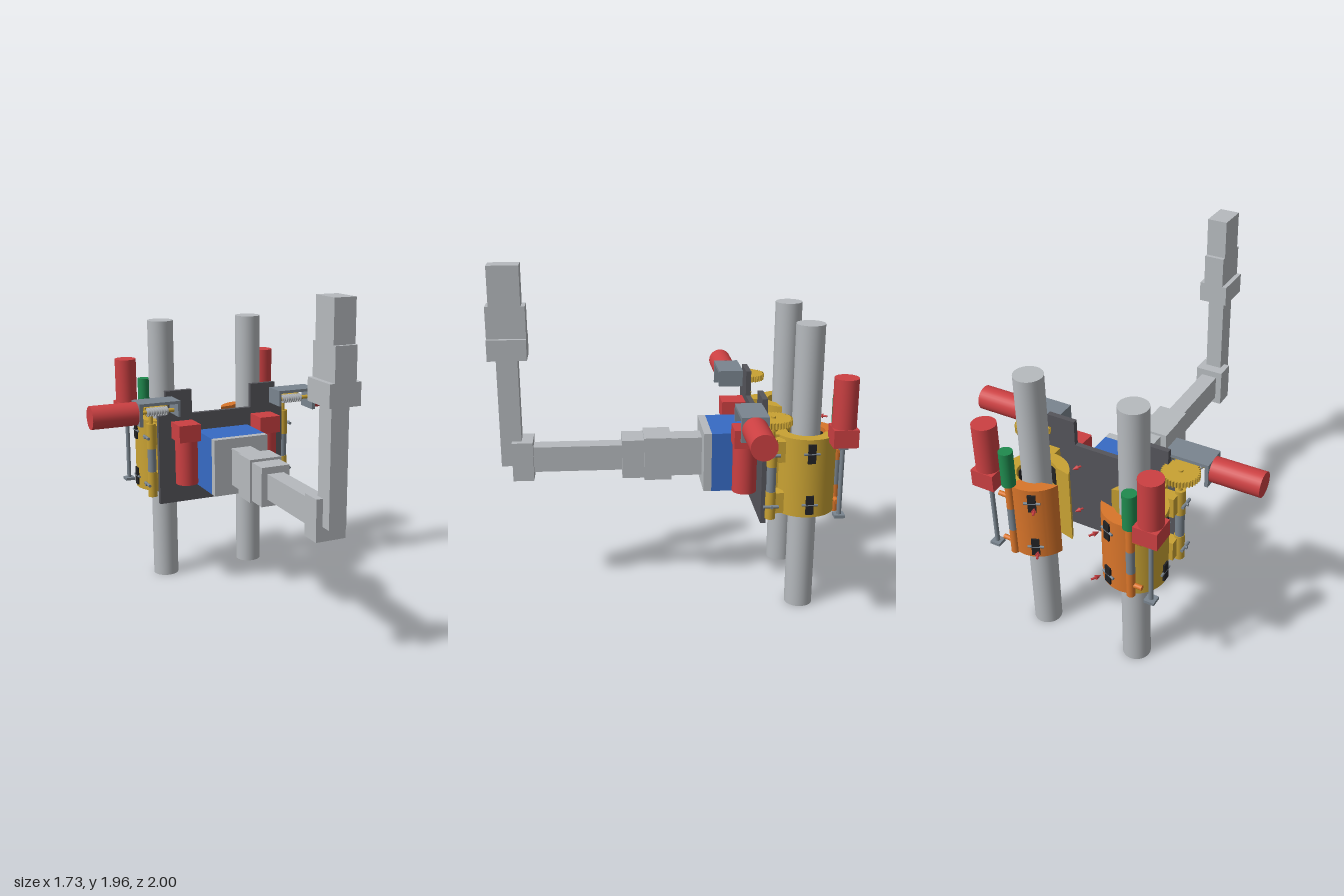
import * as THREE from 'three';
import { toCreasedNormals } from 'three/addons/utils/BufferGeometryUtils.js';

const colours = {
  paleGrey: 0xb6babe, red: 0xcc4042, blue: 0x376bc4, gold: 0xc9a233, orange: 0xd9752a,
  green: 0x1f8a4e, steel: 0x7a858f, charcoal: 0x55555b, black: 0x222224,
};

export function createModel() {
  const root = new THREE.Group();
  root.name = 'poleClimbingRobot';
  const mats = {};
  for (const [name, color] of Object.entries(colours)) {
    mats[name] = new THREE.MeshStandardMaterial({ color });
    mats[name].name = name;
  }

  const add = (name, geo, mat, parent = root) => {
    const mesh = new THREE.Mesh(geo, mats[mat]);
    mesh.name = name;
    parent.add(mesh);
    return mesh;
  };
  // Box from its limits on each axis
  const box = (name, mat, x0, x1, y0, y1, z0, z1, parent) => {
    const m = add(name, new THREE.BoxGeometry(Math.abs(x1 - x0), y1 - y0, Math.abs(z1 - z0)), mat, parent);
    m.position.set((x0 + x1) / 2, (y0 + y1) / 2, (z0 + z1) / 2);
    return m;
  };
  // Rod between two points, optionally tapered
  const rod = (name, mat, a, b, r, parent, rEnd = r, sides = 32) => {
    const from = new THREE.Vector3(...a), to = new THREE.Vector3(...b);
    const d = to.clone().sub(from);
    const m = add(name, new THREE.CylinderGeometry(rEnd, r, d.length(), sides), mat, parent);
    m.position.copy(from).add(to).multiplyScalar(0.5);
    m.quaternion.setFromUnitVectors(new THREE.Vector3(0, 1, 0), d.normalize());
    return m;
  };
  // Outline in (x, -z), raised from y0 to y1
  const raise = (name, mat, pts, y0, y1, parent) => {
    const g = new THREE.ExtrudeGeometry(new THREE.Shape(pts), { depth: y1 - y0, bevelEnabled: false });
    g.rotateX(-Math.PI / 2).translate(0, y0, 0);
    return add(name, toCreasedNormals(g, 0.4), mat, parent);
  };

  // Back plate with two raised tabs
  const plate = new THREE.Shape([
    [-0.42, 0.56], [0.42, 0.56], [0.42, 1.12], [0.37, 1.12], [0.37, 1.27], [0.2, 1.27],
    [0.2, 1.12], [-0.2, 1.12], [-0.2, 1.27], [-0.37, 1.27], [-0.37, 1.12], [-0.42, 1.12],
  ].map(p => new THREE.Vector2(...p)));
  add('backPlate', new THREE.ExtrudeGeometry(plate, { depth: 0.03, bevelEnabled: false }), 'charcoal')
    .position.z = -0.528;

  // Central housing
  box('housing', 'blue', -0.175, 0.175, 0.66, 1.01, -0.498, -0.25);
  box('housingFace', 'paleGrey', -0.175, 0.175, 0.66, 1.01, -0.25, -0.205);

  // Jointed arm: half width, y range, z range
  const arm = new THREE.Group();
  arm.name = 'arm';
  root.add(arm);
  [
    ['armBase', 0.063, 0.72, 0.95, -0.205, -0.025],
    ['shoulderJoint', 0.1, 0.71, 0.965, -0.025, 0.133],
    ['shoulderCollar', 0.087, 0.72, 0.95, 0.133, 0.26],
    ['lowerArm', 0.05, 0.76, 0.91, 0.26, 0.77],
    ['elbow', 0.087, 0.72, 0.95, 0.77, 0.89],
    ['upperArm', 0.05, 0.8, 1.435, 0.835, 0.955],
    ['wristJoint', 0.087, 1.435, 1.555, 0.78, 1.0],
    ['wrist', 0.06, 1.555, 1.735, 0.78, 1.0],
    ['armTip', 0.06, 1.735, 1.96, 0.803, 0.98],
  ].forEach(([n, w, ...r]) => box(n, 'paleGrey', -w, w, ...r, arm));

  const TAU = Math.PI * 2, CX = 0.3, CZ = 0.76;
  const Y0 = 0.61, Y1 = 1.065, R0 = 0.107, R1 = 0.176;

  for (const s of [1, -1]) {
    const side = new THREE.Group();
    side.name = s > 0 ? 'leftClimber' : 'rightClimber';
    root.add(side);
    const sbox = (n, m, x0, x1, ...r) => box(n, m, s * x0, s * x1, ...r, side);
    const srod = (n, m, a, b, r, ...rest) =>
      rod(n, m, [s * a[0], a[1], a[2]], [s * b[0], b[1], b[2]], r, side, ...rest);
    // Polar point around the pole; angle 0 faces the middle of the model, 90 the back
    const polar = (deg, r) => {
      const t = deg * Math.PI / 180;
      return new THREE.Vector2(s * (CX - r * Math.cos(t)), CZ + r * Math.sin(t));
    };
    const jaw = (name, mat, out0, out1, in0, in1) => {
      const pts = [], n = 28;
      for (let i = 0; i <= n; i++) pts.push(polar(out0 + (out1 - out0) * i / n, R1));
      for (let i = n; i >= 0; i--) pts.push(polar(in0 + (in1 - in0) * i / n, R0));
      raise(name, mat, pts, Y0, Y1, side);
    };

    // Pole and the two clamp jaws
    srod('pole', 'paleGrey', [CX, 0, -CZ], [CX, 1.67, -CZ], 0.08);
    jaw('fixedJaw', 'gold', 110, 343, 110, 318);
    jaw('movingJaw', 'orange', 17, 110, 42, 110);
    sbox('jawMount', 'gold', 0.3, 0.37, Y0, Y1, -0.61, -0.528);
    for (const y of [0.63, 0.93]) sbox('hingeLug', 'gold', 0.36, 0.45, y, y + 0.12, -0.62, -0.55);

    // Rollers set through the jaws, with axles and red pressure arrows
    for (const y of [0.685, 0.985]) {
      for (const deg of [180, 66, 294]) {
        const p = polar(deg, 0.143), t = deg * Math.PI / 180;
        const g = new THREE.Group();
        g.name = 'rollerUnit';
        g.position.set(p.x, y, -p.y);
        g.rotation.y = s > 0 ? Math.PI - t : t;
        side.add(g);
        box('roller', 'black', -0.042, 0.042, -0.055, 0.055, -0.022, 0.022, g);
        const o = deg === 180 || s < 0 || s > 0 ? 0.036 : 0;
        rod('rollerAxle', 'steel', [o, 0, -0.045], [o, 0, 0.045], 0.007, g, 0.007, 10);
      }
      for (const deg of [61, 299]) {
        const at = r => { const p = polar(deg, r); return [p.x, y, -p.y]; };
        rod('arrowHead', 'red', at(0.245), at(0.212), 0.014, side, 0, 12);
        rod('arrowShaft', 'red', at(0.272), at(0.245), 0.006, side, 0.006, 8);
      }
      srod('hingePin', 'steel', [0.485, y, -0.5], [0.485, y, -0.585], 0.009);
      srod('hingePinLink', 'steel', [0.44, y, -0.545], [0.5, y, -0.545], 0.009);
    }

    // Front hinge shaft, in gold with a steel centre, and its gear
    const hz = -0.545, hx = 0.452;
    srod('hingeTube', 'gold', [hx, 0.605, hz], [hx, 0.765, hz], 0.029);
    srod('hingeCentre', 'steel', [hx, 0.765, hz], [hx, 0.912, hz], 0.026);
    srod('hingeTube', 'gold', [hx, 0.912, hz], [hx, 1.07, hz], 0.029);
    srod('gearShaft', 'gold', [hx, 1.07, hz], [hx, 1.2, hz], 0.013);
    srod('gearHub', 'gold', [hx, 1.12, hz], [hx, 1.16, hz], 0.026);
    const teeth = [];
    for (let i = 0; i < 144; i++) {
      const t = i / 144 * TAU, r = i % 4 < 2 ? 0.104 : 0.094;
      teeth.push(new THREE.Vector2(s * hx + r * Math.cos(t), -hz + r * Math.sin(t)));
    }
    raise('wormWheel', 'gold', teeth, 1.155, 1.19, side);

    // Worm drive: bracket, ribbed worm and horizontal motor
    const wy = 1.17, wz = -0.425;
    sbox('bracketTop', 'steel', 0.33, 0.585, 1.22, 1.238, -0.5, -0.352);
    sbox('bracketInnerEnd', 'steel', 0.33, 0.345, 1.14, 1.22, -0.5, -0.352);
    sbox('bracketOuterEnd', 'steel', 0.565, 0.585, 1.1, 1.22, -0.5, -0.352);
    srod('wormShaft', 'gold', [0.345, wy, wz], [0.565, wy, wz], 0.012);
    srod('worm', 'paleGrey', [0.385, wy, wz], [0.52, wy, wz], 0.019);
    for (let i = 0; i < 8; i++) {
      const x = 0.39 + i * 0.0165;
      srod('wormThread', 'paleGrey', [x, wy, wz], [x + 0.008, wy, wz], 0.027);
    }
    srod('wormMotor', 'red', [0.585, wy, wz], [0.865, wy, wz], 0.07);

    // Motor on the front of the plate
    sbox('frontMotorHead', 'red', 0.2, 0.338, 0.975, 1.08, -0.498, -0.355);
    srod('frontMotor', 'red', [0.269, 0.7, wz], [0.269, 0.975, wz], 0.069);

    // Rear motor with its drive rod and foot
    const mx = 0.482, mz = -0.925;
    sbox('rearMotorHead', 'red', mx - 0.068, mx + 0.068, 1.04, 1.14, mz - 0.068, mz + 0.068);
    srod('rearMotor', 'red', [mx, 1.14, mz], [mx, 1.415, mz], 0.067);
    srod('driveRod', 'steel', [mx, 0.625, mz], [mx, 1.04, mz], 0.013);
    sbox('rodFoot', 'steel', mx - 0.03, mx + 0.03, 0.615, 0.632, mz - 0.03, mz + 0.03);
    sbox('rodCollar', 'steel', mx - 0.025, mx + 0.025, 1.015, 1.04, mz - 0.025, mz + 0.025);

    // Rear hinge and its green actuator
    const bx = 0.363;
    [['orange', 0.605, 0.765], ['steel', 0.765, 0.912], ['orange', 0.912, 1.07]]
      .forEach(([m, a, b]) => srod('rearHinge', m, [bx, a, mz], [bx, b, mz], 0.024));
    for (const y of [0.68, 0.985])
      srod('rearHingeLink', 'orange', [bx, y, mz], [0.43, y, mz], 0.014);
    srod('actuator', 'green', [bx, 1.068, mz], [bx, 1.28, mz], 0.039);
  }
  return root;
}
